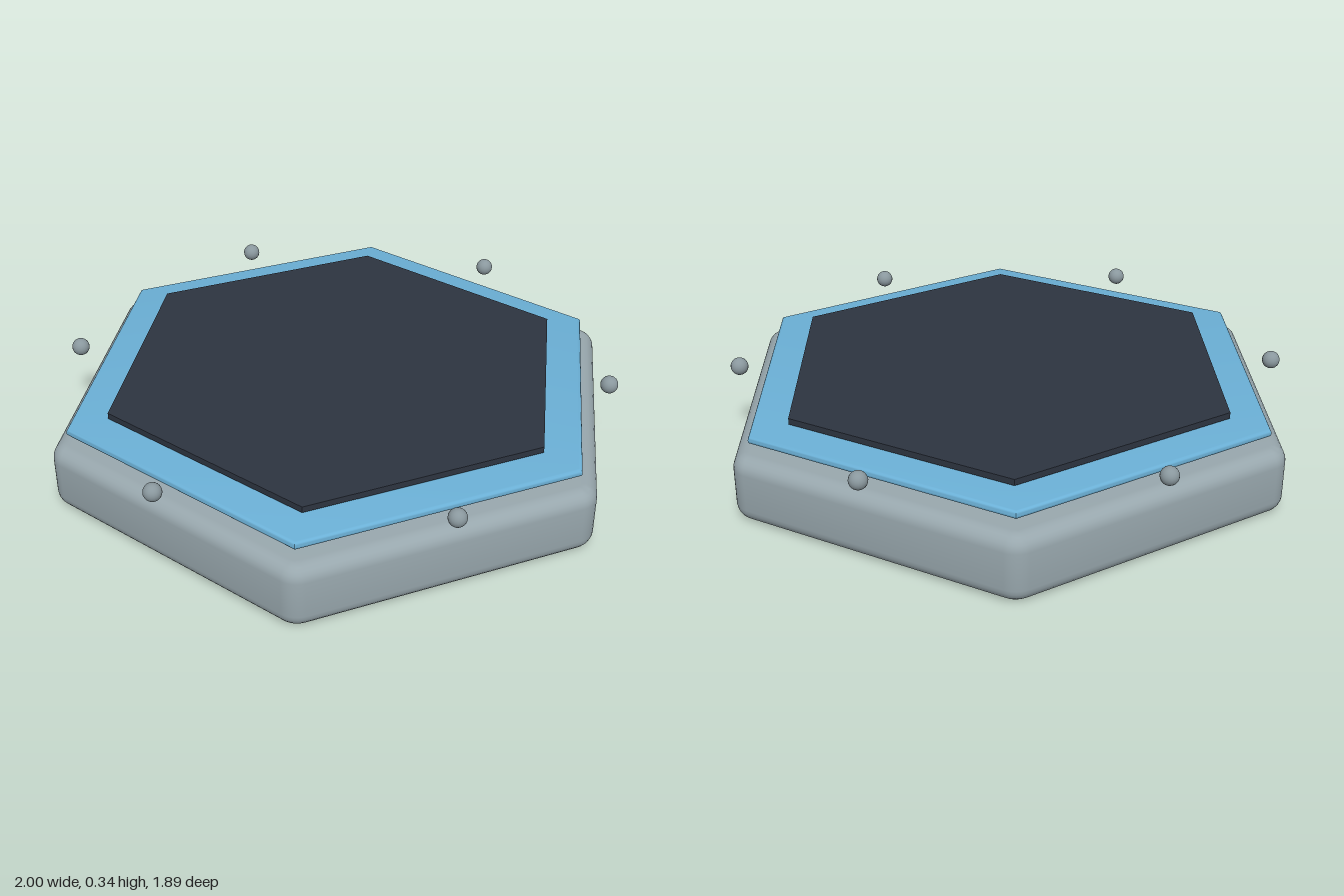
import * as THREE from 'three';
import { toCreasedNormals } from 'three/addons/utils/BufferGeometryUtils.js';

const COS30 = Math.cos(Math.PI / 6);

// Hexagon with points on +x and -x; its corners may be rounded.
function hexShape(apothem, cornerRadius) {
  const points = [];
  const centre = (apothem - cornerRadius) / COS30;
  const steps = cornerRadius > 0 ? 6 : 0;
  for (let i = 0; i < 6; i++) {
    const a = i * Math.PI / 3;
    for (let j = 0; j <= steps; j++) {
      const b = a + (steps ? (j / steps - 0.5) * Math.PI / 3 : 0);
      points.push(new THREE.Vector2(
        centre * Math.cos(a) + cornerRadius * Math.cos(b),
        centre * Math.sin(a) + cornerRadius * Math.sin(b)));
    }
  }
  return new THREE.Shape(points);
}

// Flat hexagonal slab from y = bottom to y = top, with rounded rims.
function hexSlab(name, material, { apothem, bottom, top, bevel = 0, corner = 0, segments = 4 }) {
  const geometry = new THREE.ExtrudeGeometry(
    hexShape(apothem - bevel, Math.max(corner - bevel, 0)), {
      depth: top - bottom - 2 * bevel,
      bevelEnabled: bevel > 0,
      bevelSize: bevel,
      bevelThickness: bevel,
      bevelSegments: segments,
    });
  geometry.rotateX(-Math.PI / 2);
  geometry.translate(0, bottom + bevel, 0);
  const mesh = new THREE.Mesh(toCreasedNormals(geometry, 0.6), material);
  mesh.name = name;
  return mesh;
}

export function createModel() {
  const group = new THREE.Group();
  group.name = 'hexagonalPad';

  const material = (name, color) => {
    const m = new THREE.MeshStandardMaterial({ color });
    m.name = name;
    return m;
  };
  const grey = material('bodyGrey', 0x98a7ad);
  const dark = material('darkSlate', 0x2d3440);
  const blue = material('trimBlue', 0x6bb0d6);
  const steel = material('studGrey', 0x8a989e);

  // Stacked layers, from the floor up
  group.add(
    hexSlab('base', grey, { apothem: 0.877, bottom: 0, top: 0.226, bevel: 0.05, corner: 0.08, segments: 6 }),
    hexSlab('spacer', dark, { apothem: 0.758, bottom: 0.226, top: 0.262, bevel: 0.012 }),
    hexSlab('trimPlate', blue, { apothem: 0.823, bottom: 0.259, top: 0.286, bevel: 0.012 }),
    hexSlab('topPanel', dark, { apothem: 0.702, bottom: 0.292, top: 0.313 }),
  );

  // One round stud beside the middle of each edge
  const studGeometry = new THREE.SphereGeometry(0.03, 20, 14);
  for (let i = 0; i < 6; i++) {
    const a = Math.PI / 6 + i * Math.PI / 3;
    const stud = new THREE.Mesh(studGeometry, steel);
    stud.name = 'stud' + (i + 1);
    stud.position.set(0.913 * Math.cos(a), 0.307, 0.913 * Math.sin(a));
    group.add(stud);
  }
  return group;
}
